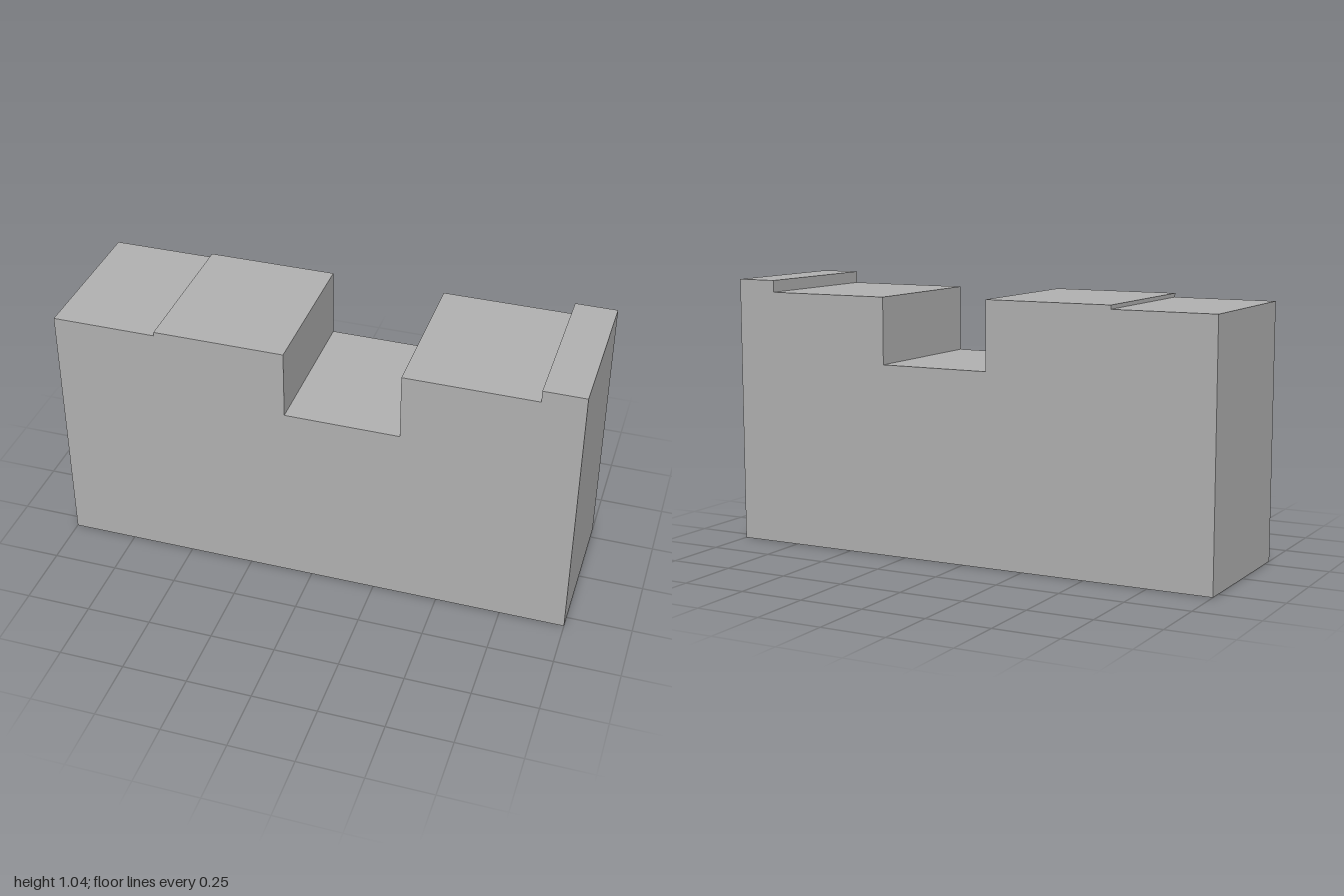
import * as THREE from 'three';

const DEPTH = 0.6;

export function createModel() {
  const group = new THREE.Group();
  const stone = new THREE.MeshStandardMaterial({ color: 0xb2b2b2, side: THREE.DoubleSide });
  stone.name = 'plain grey';

  function add(name, geometry) {
    const mesh = new THREE.Mesh(geometry, stone);
    mesh.name = name;
    group.add(mesh);
  }

  // Flat strip across the full depth; its normal lies to the left of the path a -> b
  function strip(name, [ax, ay], [bx, by]) {
    const g = new THREE.PlaneGeometry(Math.hypot(bx - ax, by - ay), DEPTH);
    g.rotateX(-Math.PI / 2);
    g.rotateZ(Math.atan2(by - ay, bx - ax));
    g.translate((ax + bx) / 2, (ay + by) / 2, 0);
    add(name, g);
  }

  // Stepped outline, from the foot of one end over the top to the other
  const profile = [
    [-1, 0], [-1, 0.99], [-0.6, 0.99], [-0.6, 1.005], [-0.1, 1.005], [-0.1, 0.74],
    [0.34, 0.74], [0.34, 0.997], [0.84, 0.997], [0.84, 1.043], [1, 1.043], [1, 0],
  ];

  // Front and back walls
  const outline = new THREE.Shape(profile.map(([x, y]) => new THREE.Vector2(x, y)));
  add('frontWall', new THREE.ShapeGeometry(outline).translate(0, 0, DEPTH / 2));
  add('backWall', new THREE.ShapeGeometry(outline).rotateY(Math.PI).scale(-1, 1, 1)
    .translate(0, 0, -DEPTH / 2));

  // End walls and stepped top
  for (let i = 0; i < profile.length - 1; i++) {
    const isEnd = i === 0 || i === profile.length - 2;
    strip(isEnd ? 'endWall' : 'topStep', profile[i], profile[i + 1]);
  }

  // Open underside: a recessed ceiling divided into four bays
  const ceiling = 0.26;
  strip('recessCeiling', [1, ceiling], [-1, ceiling]);
  for (const x of [-0.5, 0.06, 0.62]) strip('partition', [x, ceiling], [x, 0]);

  return group;
}
